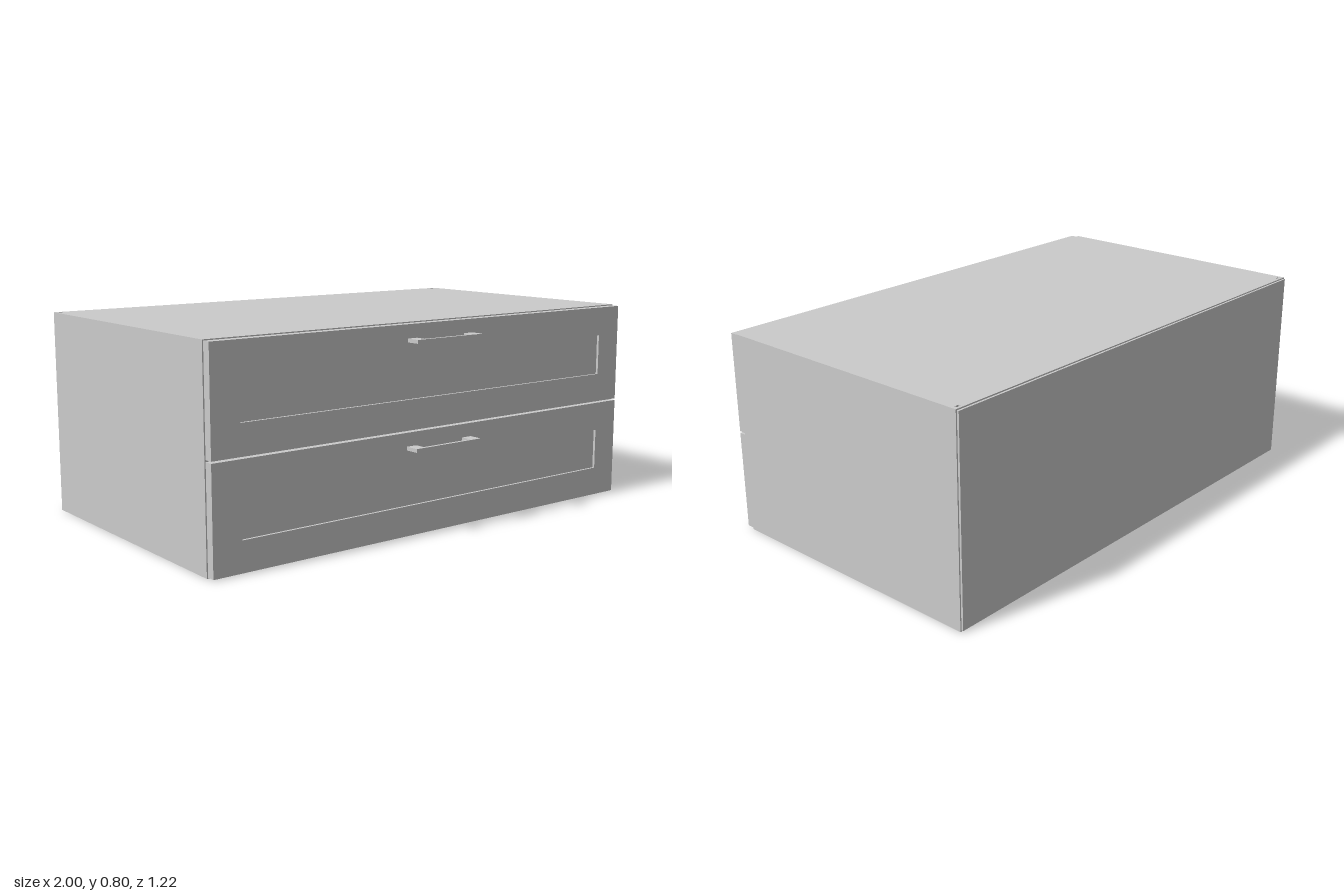
import * as THREE from 'three';

const material = new THREE.MeshStandardMaterial({ color: 0xcccccc });

// Box given by its lower and upper corners
function box(parent, name, [x0, y0, z0], [x1, y1, z1]) {
  const mesh = new THREE.Mesh(new THREE.BoxGeometry(x1 - x0, y1 - y0, z1 - z0), material);
  mesh.name = name;
  mesh.position.set((x0 + x1) / 2, (y0 + y1) / 2, (z0 + z1) / 2);
  parent.add(mesh);
  return mesh;
}

// Rectangle outline for shapes and holes
function rect(Type, x0, y0, x1, y1) {
  const r = new Type();
  r.moveTo(x0, y0).lineTo(x1, y0).lineTo(x1, y1).lineTo(x0, y1).closePath();
  return r;
}

const W = 1, H = 0.8, T = 0.032;   // half width, height, board thickness
const BACK = -0.6, FACE = 0.52;    // depth range of the carcass

function makeCarcass() {
  const g = new THREE.Group();
  g.name = 'carcass';
  box(g, 'bottomBoard', [-W, 0, BACK], [W, T, FACE]);
  for (const s of [-1, 1]) {
    const side = box(g, s > 0 ? 'leftSide' : 'rightSide', [W - T, T, BACK], [W, H - T, FACE]);
    side.position.x *= s;
  }
  // Top board with a small slot in each rear corner
  const top = rect(THREE.Shape, -W, -FACE, W, -BACK);
  for (const x of [-0.975, 0.975]) {
    top.holes.push(rect(THREE.Path, x - 0.009, 0.58, x + 0.009, 0.59));
  }
  const topMesh = new THREE.Mesh(new THREE.ExtrudeGeometry(top, { depth: T, bevelEnabled: false }), material);
  topMesh.name = 'topBoard';
  topMesh.rotation.x = -Math.PI / 2;
  topMesh.position.y = H - T;
  g.add(topMesh);
  // Thin back panel, slightly smaller than the carcass
  box(g, 'backPanel', [-W + 0.005, 0.005, BACK - 0.008], [W - 0.005, H - 0.005, BACK]);
  return g;
}

// Flat bow handle: two posts and a thin bar
function makeHandle(y) {
  const g = new THREE.Group();
  g.name = 'handle';
  for (const s of [-1, 1]) {
    box(g, 'handlePost', [-0.022, y - 0.007, 0.553], [0.022, y + 0.007, 0.61]).position.x = s * 0.138;
  }
  box(g, 'handleBar', [-0.116, y - 0.007, 0.597], [0.116, y + 0.007, 0.61]);
  return g;
}

function makeDrawer(y0, y1) {
  const g = new THREE.Group();
  g.name = 'drawer';
  const x = W - 0.004, m = 0.115, z = FACE + 0.001, front = 0.555;
  // Framed front with a recessed panel
  const frame = rect(THREE.Shape, -x, y0, x, y1);
  frame.holes.push(rect(THREE.Path, -x + m, y0 + m, x - m, y1 - m));
  const mesh = new THREE.Mesh(new THREE.ExtrudeGeometry(frame, { depth: front - z, bevelEnabled: false }), material);
  mesh.name = 'drawerFrame';
  mesh.position.z = z;
  g.add(mesh);
  box(g, 'drawerPanel', [-x + m, y0 + m, z], [x - m, y1 - m, front - 0.01]);
  // Open drawer box behind the front
  const bx = W - T - 0.015, b0 = y0 + 0.06, b1 = y1 - 0.08, bz = -0.55, t = 0.025;
  box(g, 'drawerBottom', [-bx, b0, bz], [bx, b0 + t, z]);
  box(g, 'drawerBack', [-bx, b0 + t, bz], [bx, b1, bz + t]);
  for (const s of [-1, 1]) {
    box(g, 'drawerSide', [bx - t, b0 + t, bz + t], [bx, b1, z]).position.x *= s;
  }
  g.add(makeHandle(y1 - 0.059));
  return g;
}

export function createModel() {
  const model = new THREE.Group();
  model.name = 'drawerCabinet';
  model.add(makeCarcass(), makeDrawer(0.004, 0.397), makeDrawer(0.404, 0.796));
  return model;
}
